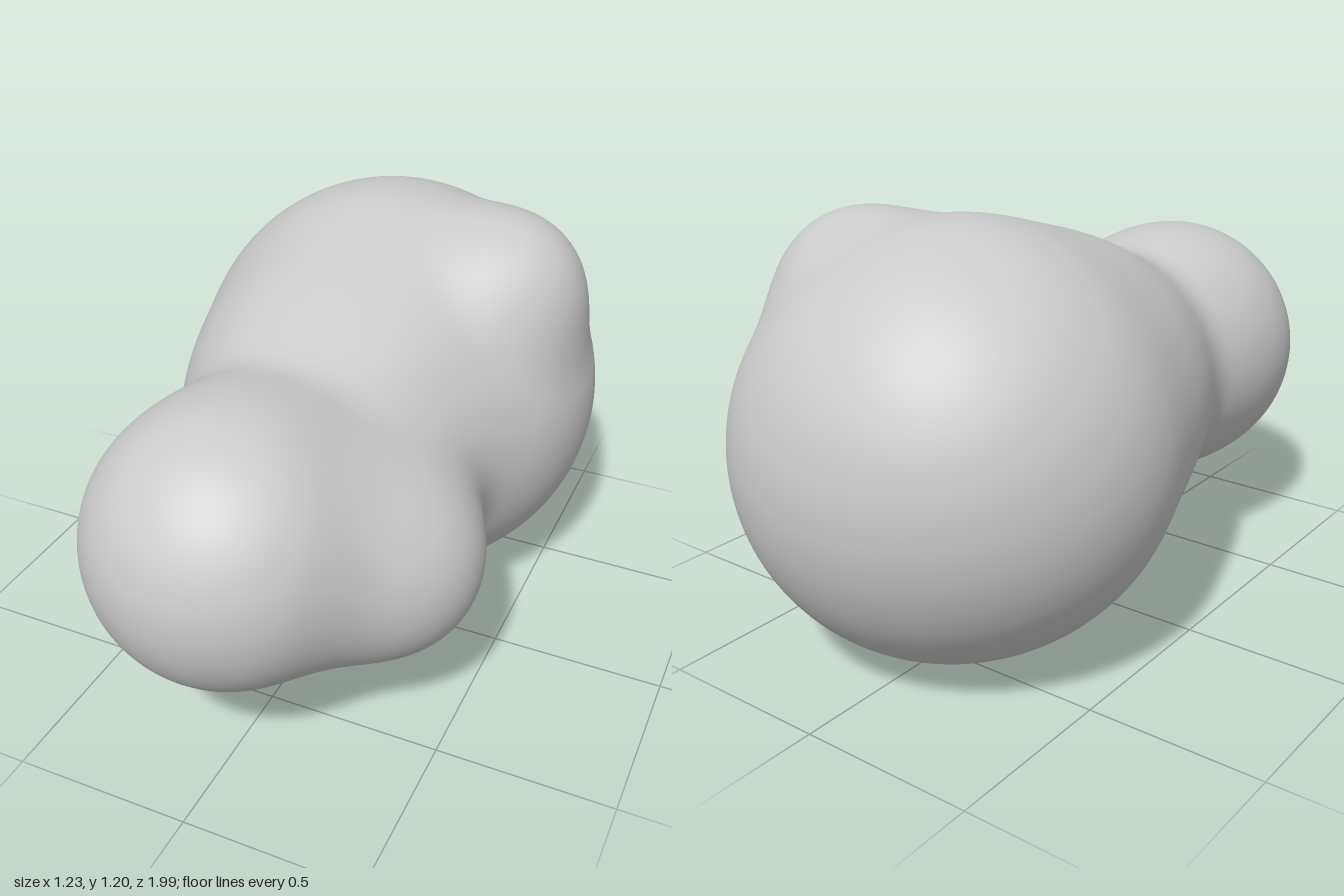
import * as THREE from 'three';
import { mergeVertices } from 'three/addons/utils/BufferGeometryUtils.js';

// Balls melted together one after another: centre, radius, blend width
const balls = [
  { c: new THREE.Vector3(-0.025, 0.615, -0.407), r: 0.588, k: 0 },   // main mass, upper left
  { c: new THREE.Vector3(0.025, 0.587, -0.407), r: 0.588, k: 0.02 }, // main mass, lower right
  { c: new THREE.Vector3(-0.04, 0.626, 0.61), r: 0.385, k: 0.55 },   // front lobe
  { c: new THREE.Vector3(-0.05, 0.65, -0.08), r: 0.42, k: 0.15 },    // shoulder
  { c: new THREE.Vector3(0.285, 0.515, 0.38), r: 0.265, k: 0.2 },    // side lobe
  { c: new THREE.Vector3(0.32, 0.943, -0.4), r: 0.243, k: 0.12 },    // upper bump
];

// Smooth union of two distances
function blend(a, b, k) {
  const h = Math.max(k - Math.abs(a - b), 0) / k;
  return Math.min(a, b) - h * h * k / 4;
}

function distance(p) {
  let d = p.distanceTo(balls[0].c) - balls[0].r;
  for (const { c, r, k } of balls.slice(1)) d = blend(d, p.distanceTo(c) - r, k);
  return d;
}

export function createModel() {
  const group = new THREE.Group();
  group.name = 'blob';

  // Push a fine sphere out from inside the neck until it meets the blended surface
  let geometry = new THREE.IcosahedronGeometry(1, 44);
  geometry.deleteAttribute('normal');
  geometry.deleteAttribute('uv');
  geometry = mergeVertices(geometry, 1e-5);
  const origin = new THREE.Vector3(0, 0.6, 0.15);
  const pos = geometry.attributes.position;
  const dir = new THREE.Vector3();
  const p = new THREE.Vector3();
  for (let i = 0; i < pos.count; i++) {
    dir.fromBufferAttribute(pos, i).normalize();
    let near = 0, far = 1.4;
    for (let step = 0; step < 22; step++) {
      const mid = (near + far) / 2;
      p.copy(origin).addScaledVector(dir, mid);
      if (distance(p) < 0) near = mid;
      else far = mid;
    }
    pos.setXYZ(i, p.x, p.y, p.z);
  }
  geometry.computeVertexNormals();

  const body = new THREE.Mesh(geometry, new THREE.MeshStandardMaterial({ color: 0xcccccc }));
  body.name = 'body';
  group.add(body);
  return group;
}
